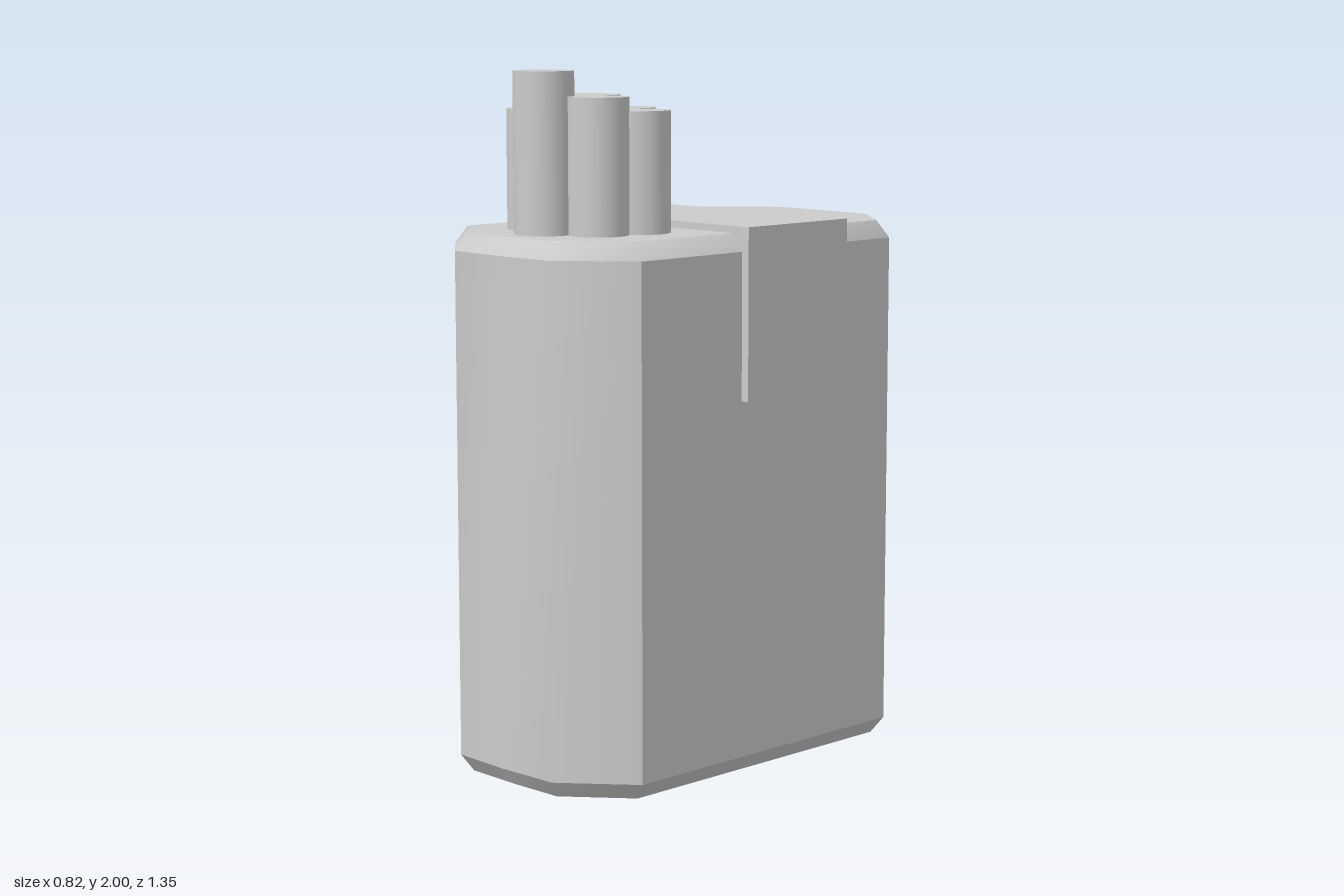
import * as THREE from 'three';
import { mergeGeometries, toCreasedNormals } from 'three/addons/utils/BufferGeometryUtils.js';

const material = new THREE.MeshStandardMaterial({ color: 0xcccccc });

// Ten-sided outline with blunt, slightly bowed ends; runs from +x round by +z
function outline(x, zSide, xEnd, zEnd, zTip) {
  const half = [[x, zSide], [xEnd, zEnd], [0, zTip], [-xEnd, zEnd], [-x, zSide]];
  return [...half, ...half.map(([px, pz]) => [-px, -pz])];
}

function toGeometry(positions) {
  const geometry = new THREE.BufferGeometry();
  geometry.setAttribute('position', new THREE.Float32BufferAttribute(positions, 3));
  return toCreasedNormals(geometry, 0.75);
}

// Wall between two outlines
function wall(lower, y0, upper, y1) {
  const positions = [];
  lower.forEach((a, i) => {
    const j = (i + 1) % lower.length;
    const p = [a[0], y0, a[1]], q = [lower[j][0], y0, lower[j][1]];
    const r = [upper[j][0], y1, upper[j][1]], s = [upper[i][0], y1, upper[i][1]];
    positions.push(...p, ...r, ...q, ...p, ...s, ...r);
  });
  return toGeometry(positions);
}

// Flat lid across an outline
function lid(ring, y, up) {
  const positions = [];
  ring.forEach((a, i) => {
    const b = ring[(i + 1) % ring.length];
    const [first, second] = up ? [b, a] : [a, b];
    positions.push(0, y, 0, first[0], y, first[1], second[0], y, second[1]);
  });
  return toGeometry(positions);
}

function addMesh(parent, name, geometry, x = 0, y = 0, z = 0) {
  const mesh = new THREE.Mesh(geometry, material);
  mesh.name = name;
  mesh.position.set(x, y, z);
  parent.add(mesh);
}

export function createModel() {
  const model = new THREE.Group();
  model.name = 'packWithSticks';

  // Pack body with bevelled top and bottom rims
  const outer = outline(0.387, 0.503, 0.195, 0.666, 0.674);
  const inner = outline(0.35, 0.487, 0.177, 0.633, 0.638);
  // outlines run from +x to -x over +z, so flip them for outward faces
  outer.reverse();
  inner.reverse();
  addMesh(model, 'body', mergeGeometries([
    lid(inner, 0, false),
    wall(inner, 0, outer, 0.05),
    wall(outer, 0.05, outer, 1.5),
    wall(outer, 1.5, inner, 1.55),
    lid(inner, 1.55, true),
  ].map(fixWinding)));

  // Seal folded over the top and down both sides
  addMesh(model, 'seal', new THREE.BoxGeometry(0.824, 0.49, 0.406), 0, 1.325, -0.087);

  // Bundle of sticks: x, z, top height
  const bottom = 1.45;
  const sticks = new THREE.Group();
  sticks.name = 'sticks';
  model.add(sticks);
  [
    [0, 0.505, 2.0], [0, 0.33, 1.93], [0.13, 0.42, 1.93],
    [-0.132, 0.414, 1.89], [-0.15, 0.265, 1.885], [0.155, 0.285, 1.89], [0, 0.195, 1.89],
  ].forEach(([x, z, top], i) => {
    const height = top - bottom;
    addMesh(sticks, `stick${i + 1}`, new THREE.CylinderGeometry(0.085, 0.085, height, 32),
      x, bottom + height / 2, z);
  });
  return model;
}

// Turn any triangle of the convex body that faces its centre
function fixWinding(geometry) {
  const p = geometry.attributes.position, n = geometry.attributes.normal;
  const a = new THREE.Vector3(), b = new THREE.Vector3(), c = new THREE.Vector3();
  const centre = new THREE.Vector3(0, 0.775, 0), face = new THREE.Vector3();
  for (let i = 0; i < p.count; i += 3) {
    a.fromBufferAttribute(p, i);
    b.fromBufferAttribute(p, i + 1);
    c.fromBufferAttribute(p, i + 2);
    new THREE.Triangle(a, b, c).getNormal(face);
    if (face.dot(a.clone().sub(centre)) >= 0) continue;
    p.setXYZ(i + 1, c.x, c.y, c.z);
    p.setXYZ(i + 2, b.x, b.y, b.z);
    const normals = [0, 2, 1].map((k) => new THREE.Vector3().fromBufferAttribute(n, i + k).negate());
    normals.forEach((v, k) => n.setXYZ(i + k, v.x, v.y, v.z));
  }
  return geometry;
}
